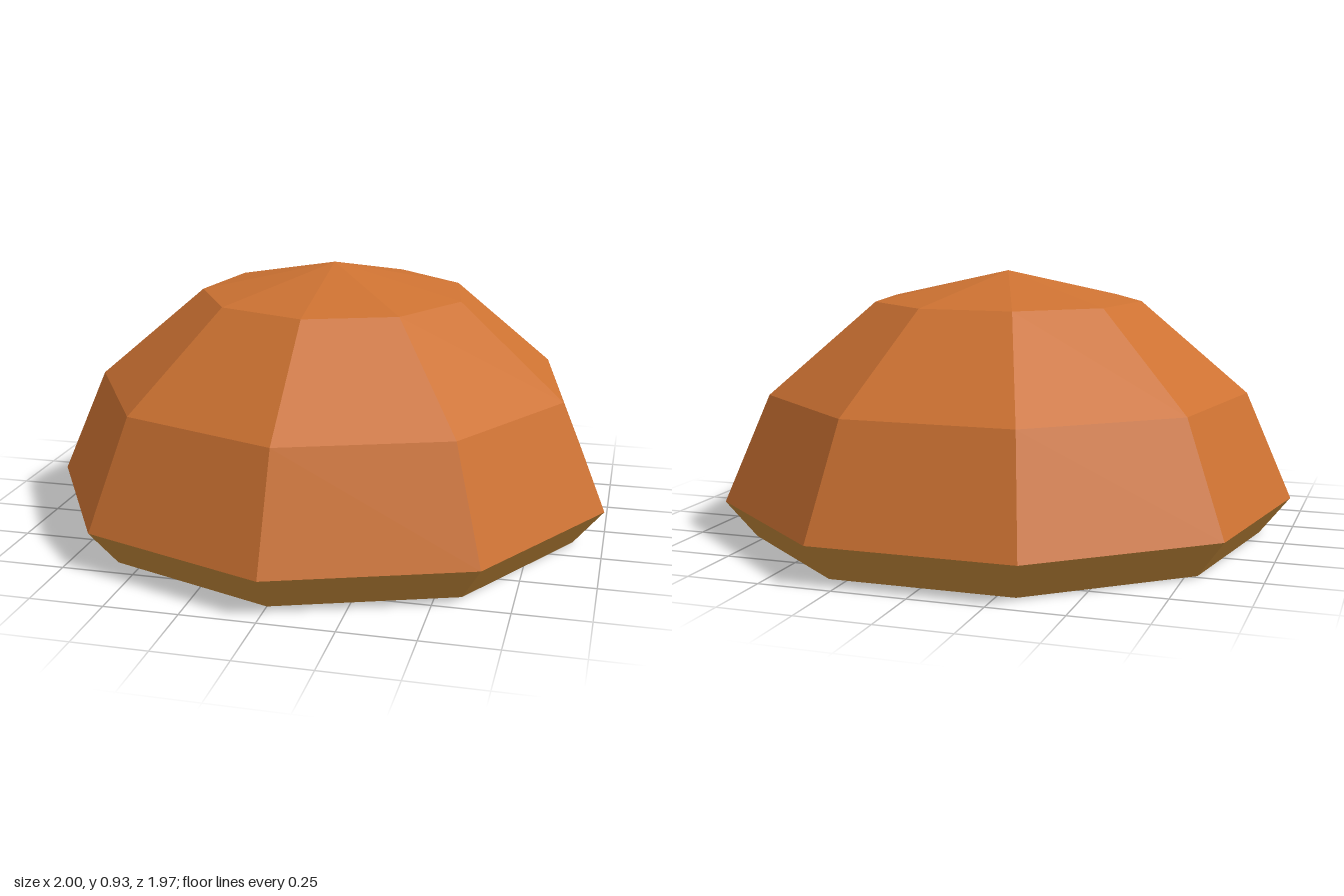
import * as THREE from 'three';

const SIDES = 9;
const CENTRE_Z = -0.03;

function material(name, color) {
  return new THREE.MeshStandardMaterial({ name, color, flatShading: true });
}

// Nine-sided ring surface from [radius, height] pairs, one corner facing the front
function ringSurface(name, profile, mat) {
  const points = profile.map(([r, y]) => new THREE.Vector2(r, y));
  const mesh = new THREE.Mesh(new THREE.LatheGeometry(points, SIDES), mat);
  mesh.name = name;
  return mesh;
}

export function createModel() {
  const orange = material('cap orange', 0xcd7232);
  const tan = material('rim tan', 0xc68a3a);
  const dark = material('gill dark brown', 0x592d14);
  const green = material('stem green', 0x6f9c3c);

  const model = new THREE.Group();
  model.name = 'mushroomCap';

  // Faceted dome
  model.add(ringSurface('dome',
    [[1.015, 0.13], [0.853, 0.505], [0.477, 0.825], [0, 0.93]], orange));

  // Sloping band below the dome
  model.add(ringSurface('rim', [[0.909, 0], [1.015, 0.13]], tan));

  // Shallow hollow underside and its dark centre
  model.add(ringSurface('underside', [[0.534, 0.074], [0.909, 0]], orange));
  model.add(ringSurface('undersideCentre', [[0, 0.074], [0.534, 0.074]], dark));

  // Small flattened stub in the middle of the underside
  const stub = new THREE.Mesh(new THREE.IcosahedronGeometry(0.095, 0), green);
  stub.name = 'stemStub';
  stub.scale.set(1, 0.35, 1);
  stub.position.y = 0.035;
  model.add(stub);

  for (const part of model.children) part.position.z = CENTRE_Z;
  return model;
}
